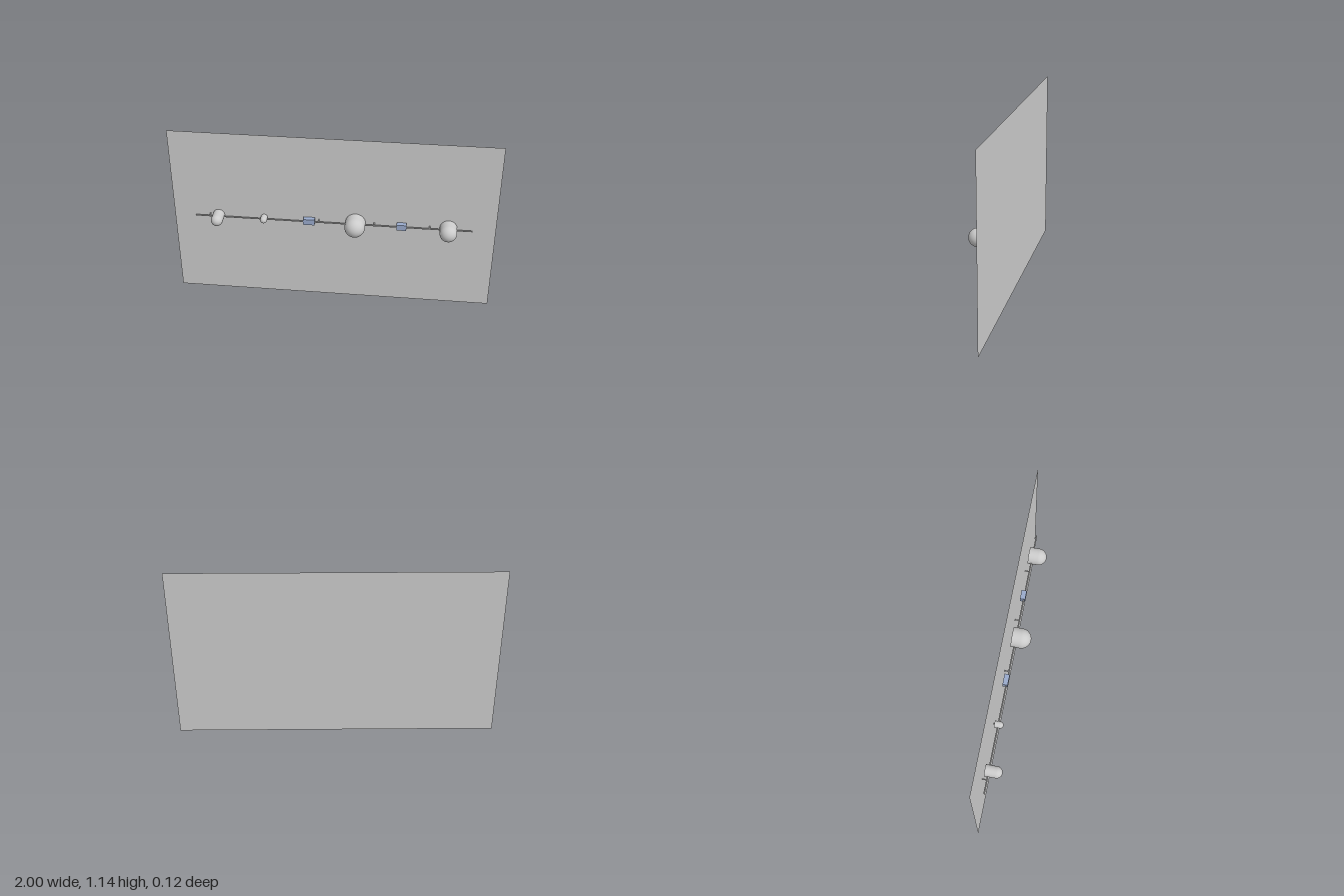
import * as THREE from 'three';

const grey = new THREE.MeshStandardMaterial({ color: 0xcccccc, side: THREE.DoubleSide });
const blue = new THREE.MeshStandardMaterial({ color: 0x99aacc });
const AXIS_Y = 0.572;   // height of the rod
const WALL_Z = -0.062;
const BACK_Z = -0.055;  // rear face of the domes and blocks
const ROD_Z = -0.033;

export function createModel() {
  const group = new THREE.Group();
  const add = (name, geometry, material, x, y, z) => {
    const mesh = new THREE.Mesh(geometry, material);
    mesh.name = name;
    mesh.position.set(x, y, z);
    group.add(mesh);
    return mesh;
  };

  // Thin backing panel
  add('wallPanel', new THREE.PlaneGeometry(2, 1.143), grey, 0, 0.5715, WALL_Z);

  // Long horizontal rod
  add('rod', new THREE.CylinderGeometry(0.0045, 0.0045, 1.715, 12).rotateZ(Math.PI / 2), grey, 0, AXIS_Y, ROD_Z);

  // Standoff pegs joining the rod to the panel
  const pegLength = ROD_Z - WALL_Z;
  for (const x of [-0.772, -0.43, -0.087, 0.256, 0.598]) {
    add('standoffPeg', new THREE.CylinderGeometry(0.004, 0.004, pegLength, 12).rotateX(Math.PI / 2),
      grey, x, AXIS_Y, WALL_Z + pegLength / 2);
  }

  // Round-nosed domes: [x, radius, front z]
  for (const [x, r, front] of [[-0.717, 0.036, 0.05], [-0.43, 0.021, 0], [0.14, 0.0625, 0.063], [0.711, 0.053, 0.058]]) {
    const length = front - r - BACK_Z;
    const dome = new THREE.Group();
    dome.name = 'dome';
    dome.position.set(x, AXIS_Y, BACK_Z);
    const body = new THREE.Mesh(new THREE.CylinderGeometry(r, r, length, 32).rotateX(Math.PI / 2), grey);
    body.name = 'domeBody';
    body.position.z = length / 2;
    const nose = new THREE.Mesh(
      new THREE.SphereGeometry(r, 32, 12, 0, Math.PI * 2, 0, Math.PI / 2).rotateX(Math.PI / 2), grey);
    nose.name = 'domeNose';
    nose.position.z = length;
    dome.add(body, nose);
    group.add(dome);
  }

  // Small coloured blocks: [x, width]
  for (const [x, width] of [[-0.147, 0.07], [0.425, 0.06]]) {
    add('block', new THREE.BoxGeometry(width, 0.038, 0.032), blue, x, AXIS_Y, BACK_Z + 0.016);
  }

  return group;
}
